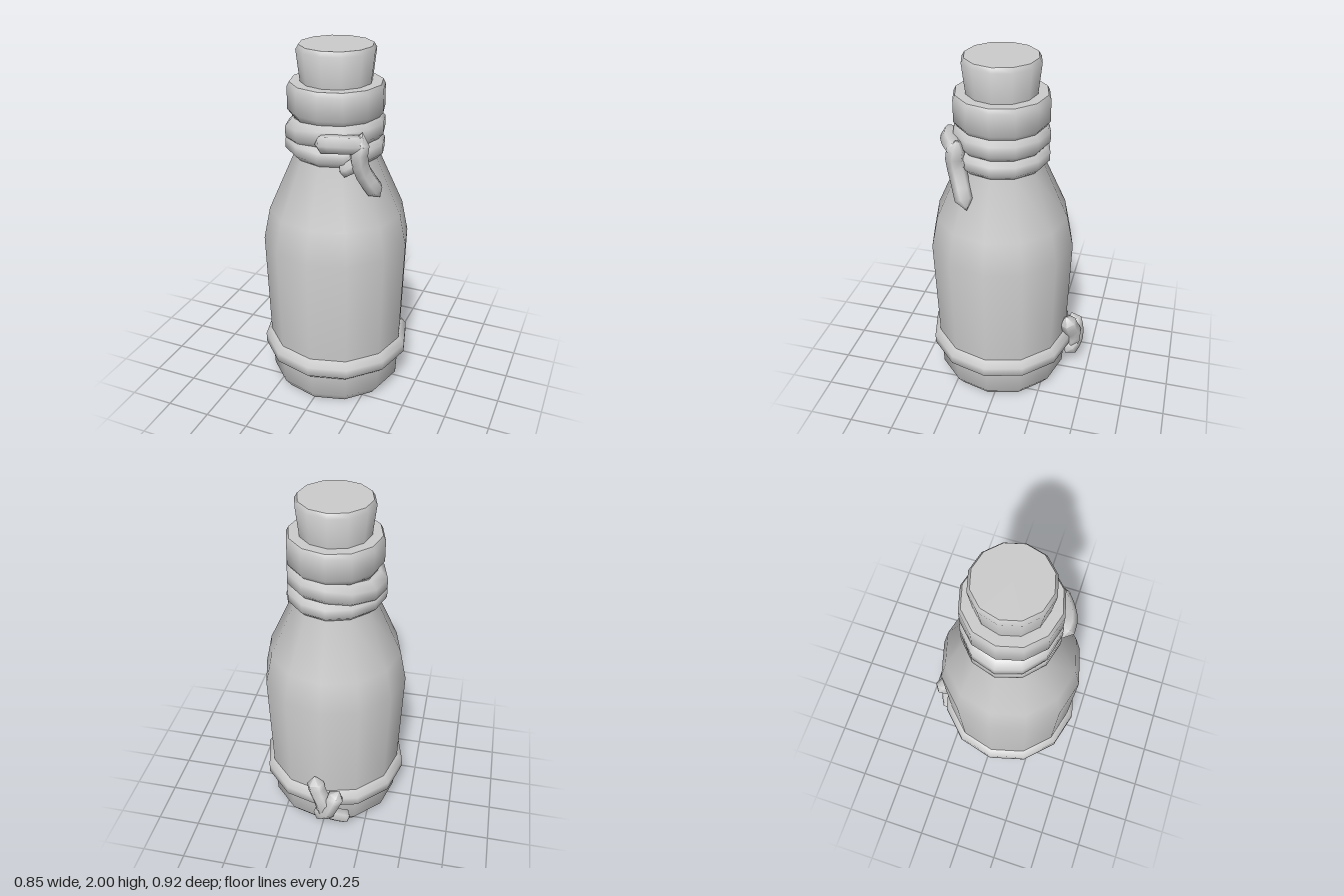
import * as THREE from 'three';
import { toCreasedNormals } from 'three/addons/utils/BufferGeometryUtils.js';

const SIDES = 12;
const AXIS_Z = 0.035;
const material = new THREE.MeshStandardMaterial({ color: 0xcccccc });

export function createModel() {
  const model = new THREE.Group();

  function add(name, geometry, crease = 0.85) {
    const mesh = new THREE.Mesh(toCreasedNormals(geometry, crease), material);
    mesh.name = name;
    model.add(mesh);
  }

  // Turned part from [radius, height] pairs, bottom to top
  function turned(profile) {
    const points = profile.map(([r, y]) => new THREE.Vector2(r, y));
    return new THREE.LatheGeometry(points, SIDES).translate(0, 0, AXIS_Z);
  }

  // Rope loop around the neck; left side bulges out and shifts by sag
  function ropeLoop(y, half, sag) {
    const geometry = turned([
      [0.2, y - half], [0.232, y - half], [0.263, y - half * 0.45],
      [0.263, y + half * 0.45], [0.232, y + half], [0.2, y + half],
    ]);
    const p = geometry.attributes.position;
    for (let i = 0; i < p.count; i++) {
      const k = Math.max(0, -p.getX(i) / 0.263);
      p.setX(i, p.getX(i) * (1 + 0.065 * k));
      p.setY(i, p.getY(i) + sag * k);
    }
    return geometry;
  }

  // Chunky strand along a curve, closed at both ends
  function strand(points, radius) {
    const curve = new THREE.CatmullRomCurve3(points.map((q) => new THREE.Vector3(...q)));
    const rings = 7, radial = 6;
    const geometry = new THREE.TubeGeometry(curve, rings, radius, radial);
    const p = geometry.attributes.position;
    const v = new THREE.Vector3();
    for (let i = 0; i <= rings; i++) {
      const centre = curve.getPointAt(i / rings);
      const scale = i === 0 || i === rings ? 0 : 1;
      for (let j = 0; j <= radial; j++) {
        const n = i * (radial + 1) + j;
        v.fromBufferAttribute(p, n).sub(centre).multiplyScalar(scale).add(centre);
        p.setXYZ(n, v.x, v.y, v.z);
      }
    }
    return geometry;
  }

  // Bottle
  add('bottleBody', turned([
    [0, 0], [0.34, 0], [0.38, 0.055], [0.387, 0.2], [0.392, 0.3],
    [0.41, 0.92], [0.373, 1.1], [0.232, 1.415], [0.225, 1.64],
  ]));
  add('bottleLip', turned([
    [0.2, 1.62], [0.23, 1.625], [0.26, 1.665], [0.26, 1.785], [0.247, 1.81], [0, 1.81],
  ]));
  add('cork', turned([
    [0, 1.8], [0.19, 1.8], [0.21, 1.975], [0.195, 2], [0, 2],
  ]), 1.0);

  // Ropes
  add('baseRope', turned([
    [0.37, 0.18], [0.385, 0.18], [0.427, 0.217], [0.427, 0.27], [0.39, 0.31], [0.37, 0.31],
  ]), 1.2);
  add('upperNeckRope', ropeLoop(1.58, 0.065, -0.045), 1.2);
  add('lowerNeckRope', ropeLoop(1.468, 0.056, 0.01), 1.2);

  // Knot at the neck
  add('neckKnotEnd', strand([[-0.01, 1.545, 0.3], [0.08, 1.56, 0.3], [0.15, 1.555, 0.27], [0.24, 1.545, 0.2]], 0.05), 1.2);
  add('neckKnotTail', strand([[0.215, 1.61, 0.21], [0.205, 1.5, 0.235], [0.215, 1.41, 0.215], [0.295, 1.245, 0.15]], 0.05), 1.2);
  add('neckKnotStub', strand([[0.23, 1.5, 0.2], [0.17, 1.43, 0.235], [0.1, 1.39, 0.235]], 0.04), 1.2);

  // Knot at the base
  add('baseKnotTop', strand([[0.04, 0.43, -0.365], [0.02, 0.35, -0.385], [-0.02, 0.27, -0.405], [-0.03, 0.15, -0.385]], 0.052), 1.2);
  add('baseKnotLoop', strand([[-0.11, 0.35, -0.375], [-0.07, 0.27, -0.41], [-0.04, 0.2, -0.41], [0.03, 0.14, -0.37]], 0.05), 1.2);
  add('baseKnotTail', strand([[0, 0.21, -0.39], [-0.07, 0.16, -0.385], [-0.17, 0.1, -0.34]], 0.042), 1.2);

  return model;
}
